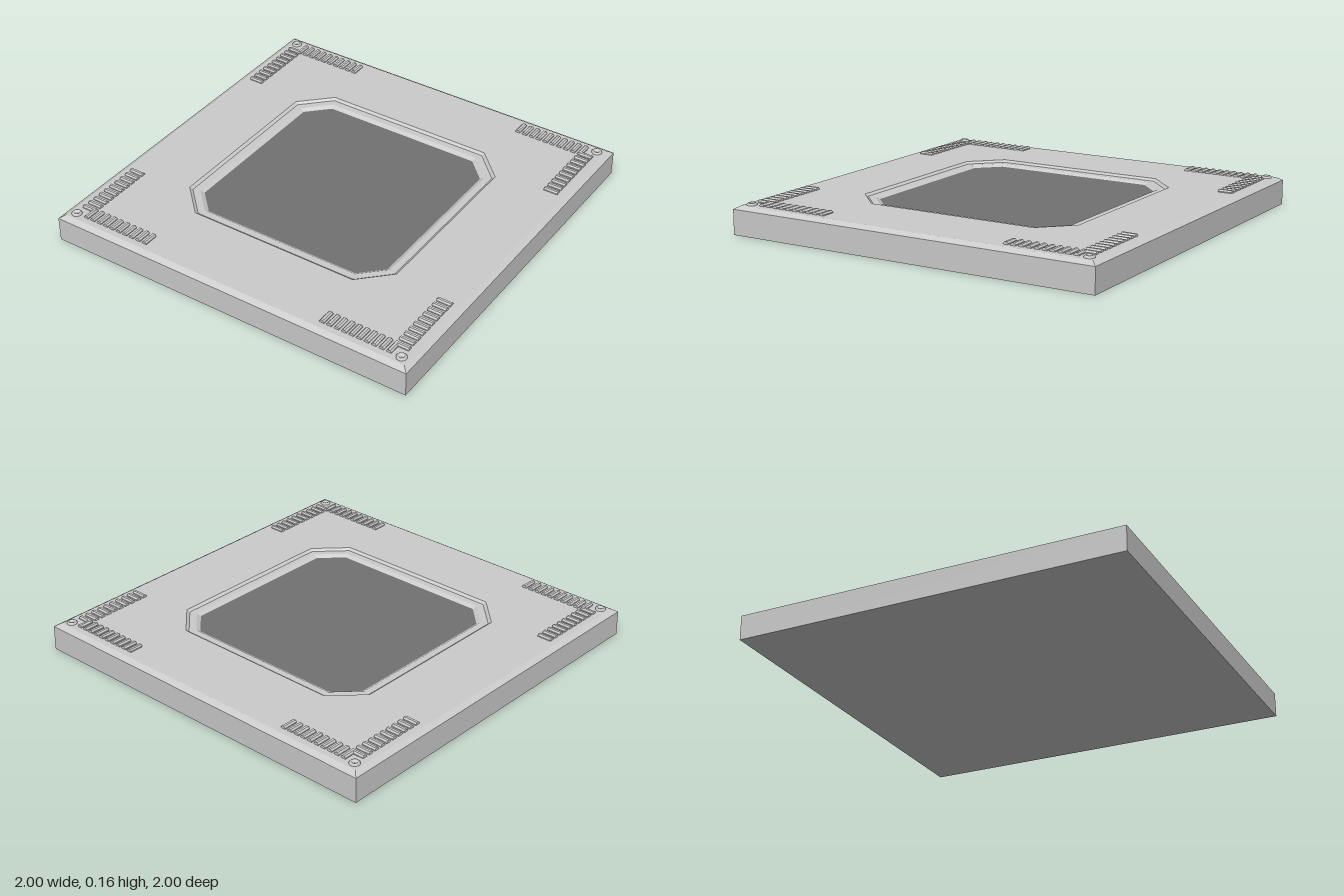
import * as THREE from 'three';

const TOP = 0.145;
const grey = new THREE.MeshStandardMaterial({ color: 0xcccccc });
const dark = new THREE.MeshStandardMaterial({ color: 0x717171 });

// Square outline with cut corners, anticlockwise seen from above
function outline([half, cut, y]) {
  const k = half - cut;
  return [[-k, half], [k, half], [half, k], [half, -k], [k, -half], [-k, -half], [-half, -k], [-half, k]]
    .map(([x, z]) => new THREE.Vector3(x, y, z));
}

// Skin a list of [half width, corner cut, height] outlines with flat facets
function loft(sections) {
  const rings = sections.map(outline);
  const points = [];
  const addTriangle = (a, b, c) => {
    if (new THREE.Triangle(a, b, c).getArea() > 1e-8) points.push(a, b, c);
  };
  for (let r = 0; r < rings.length - 1; r++) {
    for (let i = 0; i < 8; i++) {
      const j = (i + 1) % 8;
      addTriangle(rings[r][i], rings[r][j], rings[r + 1][j]);
      addTriangle(rings[r][i], rings[r + 1][j], rings[r + 1][i]);
    }
  }
  const geometry = new THREE.BufferGeometry().setFromPoints(points);
  geometry.computeVertexNormals();
  return geometry;
}

function addMesh(parent, name, geometry, material = grey) {
  const mesh = new THREE.Mesh(geometry, material);
  mesh.name = name;
  parent.add(mesh);
  return mesh;
}

export function createModel() {
  const model = new THREE.Group();
  model.name = 'floorTile';

  // Slab: underside, sides, bevelled rim, top and stepped recess
  addMesh(model, 'slab', loft([
    [0, 0, 0], [1, 0, 0], [1, 0, 0.128], [0.972, 0, TOP],
    [0.61, 0.15, TOP], [0.595, 0.141, 0.134], [0.56, 0.121, 0.134], [0.54, 0.109, 0.122],
  ]));

  // Dark floor of the recess
  addMesh(model, 'recessPanel', loft([[0.54, 0.109, 0.122], [0, 0, 0.122]]), dark);

  // Raised grip rib with a bevelled back, running along z
  const profile = new THREE.Shape([[-0.013, -0.005], [0.013, -0.005], [0.013, 0.005], [0.006, 0.013], [-0.006, 0.013], [-0.013, 0.005]]
    .map(([x, y]) => new THREE.Vector2(x, y)));
  const rib = new THREE.ExtrudeGeometry(profile, { depth: 0.075, bevelEnabled: false });
  rib.translate(0, 0, -0.0375);

  // Round corner stud with a dished top
  const stud = new THREE.LatheGeometry([[0.026, -0.005], [0.026, 0.005], [0.02, 0.011], [0.015, 0.011], [0.011, 0.004], [0, 0.004]]
    .map(([x, y]) => new THREE.Vector2(x, y)), 16);

  // Each corner carries two rows of ribs and a stud
  for (const sx of [-1, 1]) {
    for (const sz of [-1, 1]) {
      const corner = new THREE.Group();
      corner.name = (sz > 0 ? 'front' : 'back') + (sx > 0 ? 'Left' : 'Right') + 'Grip';
      for (let i = 0; i < 10; i++) {
        const along = 0.512 + i * 0.04;
        addMesh(corner, 'crossRib', rib).position.set(sx * along, TOP, sz * 0.902);
        const side = addMesh(corner, 'sideRib', rib);
        side.position.set(sx * 0.902, TOP, sz * along);
        side.rotation.y = Math.PI / 2;
      }
      addMesh(corner, 'cornerStud', stud).position.set(sx * 0.935, TOP, sz * 0.935);
      model.add(corner);
    }
  }
  return model;
}
